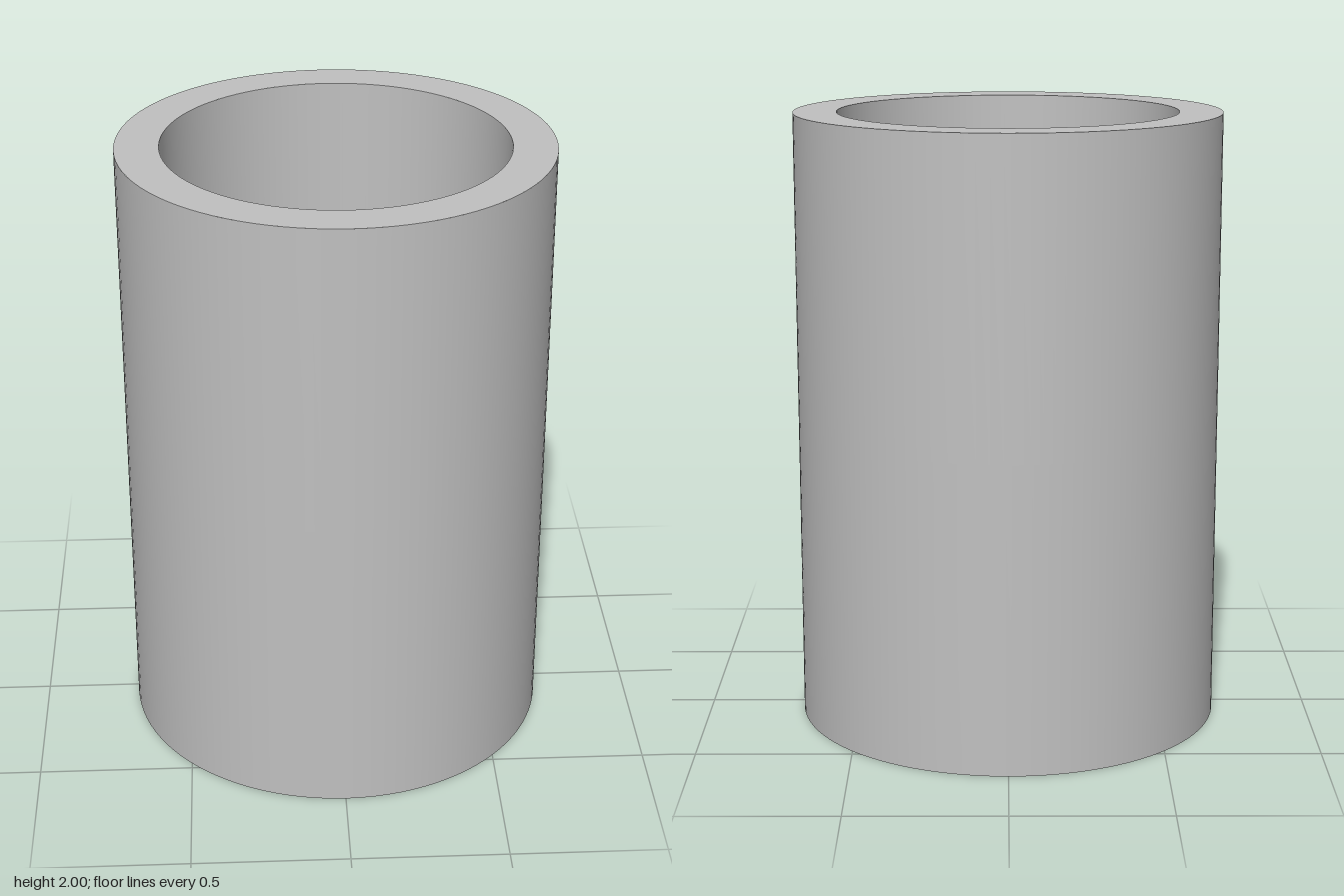
import * as THREE from 'three';
import { ParametricGeometry } from 'three/addons/geometries/ParametricGeometry.js';

const OUTER = 0.69, INNER = 0.55, HEIGHT = 2;
const HOLE = 0.08;        // screw hole radius
const A = 0.2, S = 0.13;  // half angle and half height of the wall patch around a hole
const FLOOR_LOW = 0.95, FLOOR_HIGH = 1.055;

export function createModel() {
  const group = new THREE.Group();
  const metal = new THREE.MeshStandardMaterial({ color: 0xc0c0c0 });

  function add(name, geometry) {
    const mesh = new THREE.Mesh(geometry, metal);
    mesh.name = name;
    group.add(mesh);
  }

  // Surface of revolution through two profile points
  function revolve(name, p, q, segments = 96, start = 0, length = Math.PI * 2) {
    const points = [new THREE.Vector2(...p), new THREE.Vector2(...q)];
    add(name, new THREE.LatheGeometry(points, segments, start, length));
  }

  // Point on a cylinder of the given radius, on the +x side
  const onCylinder = (radius, z, y, target) =>
    target.set(Math.sqrt(radius * radius - z * z), y, z);

  // Cylindrical wall from y0 to y1 with a round hole at holeY on the +x side
  function wall(name, radius, y0, y1, holeY, inward) {
    const band = (low, high, segments, start, length) => inward
      ? revolve(name, [radius, high], [radius, low], segments, start, length)
      : revolve(name, [radius, low], [radius, high], segments, start, length);
    band(y0, y1, 96, Math.PI / 2 + A, Math.PI * 2 - 2 * A);
    band(y0, holeY - S, 12, Math.PI / 2 - A, 2 * A);
    band(holeY + S, y1, 12, Math.PI / 2 - A, 2 * A);
    // Patch blending from the round hole to its rectangular border
    add(name + 'HolePatch', new ParametricGeometry((u, v, target) => {
      const k = inward ? 1 - u : u;
      const c = Math.cos(v * Math.PI * 2), s = Math.sin(v * Math.PI * 2);
      const m = Math.max(Math.abs(c), Math.abs(s));
      const z = THREE.MathUtils.lerp(HOLE * c, radius * Math.sin(A) * c / m, k);
      const y = THREE.MathUtils.lerp(HOLE * s, S * s / m, k);
      onCylinder(radius, -z, holeY + y, target);
    }, 4, 48));
  }

  // Side wall of a screw hole between the inner and outer walls
  function screwHole(holeY) {
    add('screwHole', new ParametricGeometry((u, v, target) => {
      const t = v * Math.PI * 2;
      const z = -HOLE * Math.cos(t);
      const x0 = Math.sqrt(INNER * INNER - z * z), x1 = Math.sqrt(OUTER * OUTER - z * z);
      target.set(THREE.MathUtils.lerp(x0, x1, u), holeY + HOLE * Math.sin(t), z);
    }, 1, 48));
  }

  // Lower and upper sockets, each with one screw hole
  wall('lowerOuterWall', OUTER, 0, 1, 0.475, false);
  wall('lowerSocket', INNER, 0, FLOOR_LOW, 0.475, true);
  screwHole(0.475);
  wall('upperOuterWall', OUTER, 1, HEIGHT, 1.528, false);
  wall('upperSocket', INNER, FLOOR_HIGH, HEIGHT, 1.528, true);
  screwHole(1.528);

  // End rims
  revolve('topRim', [OUTER, HEIGHT], [INNER, HEIGHT]);
  revolve('bottomRim', [INNER, 0], [OUTER, 0]);

  // Dividing wall between the sockets
  revolve('dividerTop', [INNER, FLOOR_HIGH], [0, FLOOR_HIGH]);
  revolve('dividerBottom', [0, FLOOR_LOW], [INNER, FLOOR_LOW]);

  return group;
}
